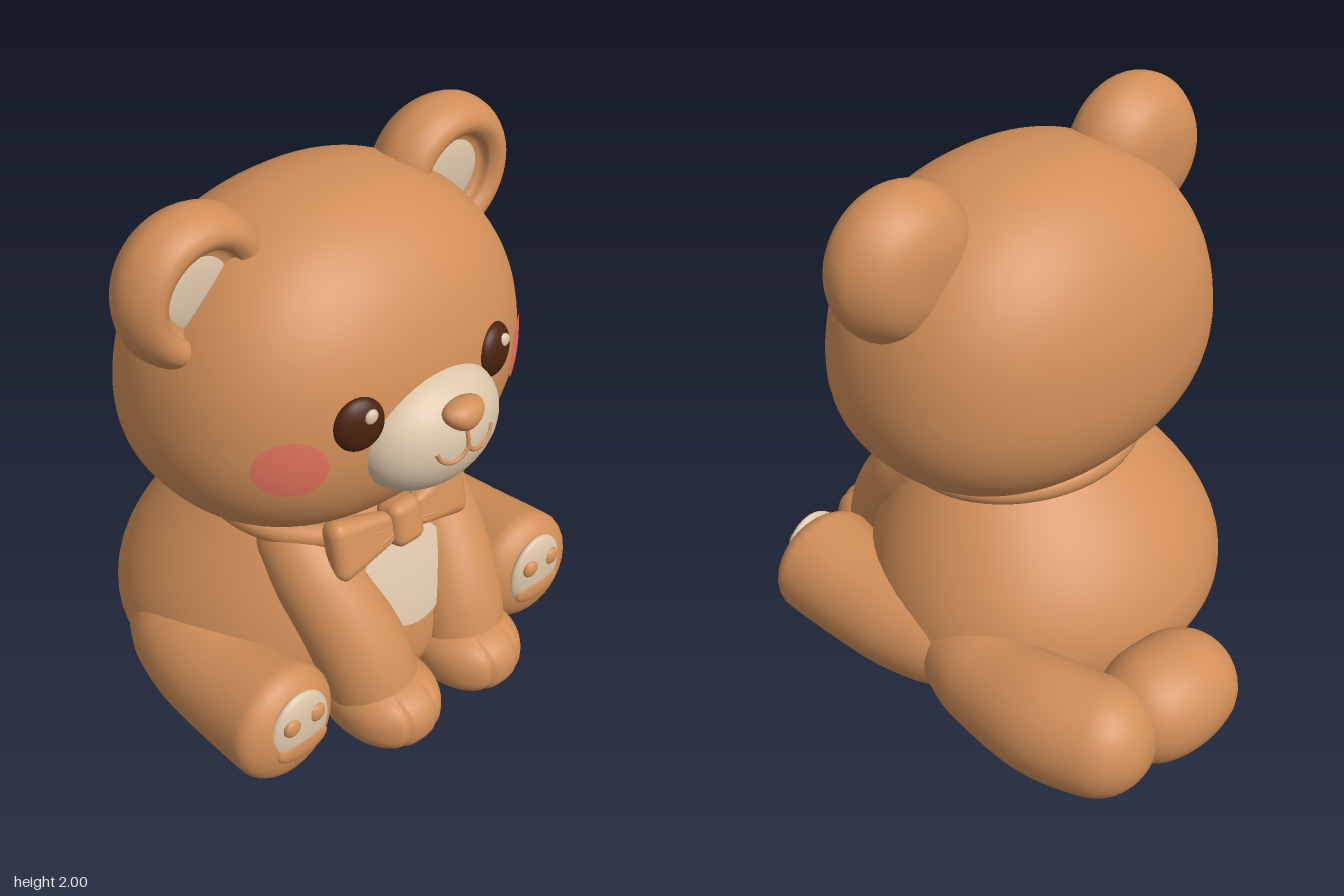
import * as THREE from 'three';
import { mergeVertices } from 'three/addons/utils/BufferGeometryUtils.js';
import { RoundedBoxGeometry } from 'three/addons/geometries/RoundedBoxGeometry.js';

const mat = (name, color) => {
  const m = new THREE.MeshStandardMaterial({ color });
  m.name = name;
  return m;
};

export function createModel() {
  const fur = mat('caramel fur', 0xd18e58);
  const cream = mat('cream', 0xdcc5a8);
  const dark = mat('dark brown', 0x4a220d);
  const blush = mat('blush pink', 0xe3735c);

  const model = new THREE.Group();
  model.name = 'bear';
  const add = (name, geo, material, x = 0, y = 0, z = 0) => {
    const m = new THREE.Mesh(geo, material);
    m.name = name;
    m.position.set(x, y, z);
    model.add(m);
    return m;
  };

  // Moves every vertex by a rule, then welds seams for smooth normals
  const reshape = (geo, rule) => {
    const p = geo.attributes.position, v = new THREE.Vector3();
    for (let i = 0; i < p.count; i++) {
      rule(v.fromBufferAttribute(p, i), i);
      p.setXYZ(i, v.x, v.y, v.z);
    }
    geo.deleteAttribute('uv');
    geo.deleteAttribute('normal');
    const out = mergeVertices(geo, 1e-5);
    out.computeVertexNormals();
    return out;
  };
  const ball = (name, material, pos, r) => {
    const m = add(name, new THREE.SphereGeometry(1, 36, 24), material, ...pos);
    m.scale.set(...r);
    return m;
  };

  // Rounded limb along a curve; points are [x, y, z, radius], endCap is the depth of the end dome
  const limb = (name, pts, endCap) => {
    const curve = new THREE.CatmullRomCurve3(pts.map(p => new THREE.Vector3(p[0], p[1], p[2])));
    const N = 96, R = 28, len = curve.getLength(), c = new THREE.Vector3();
    const dome = (s, d) => (s >= d ? 1 : Math.sqrt(Math.max(0, 1 - (1 - s / d) ** 2)));
    const geo = reshape(new THREE.TubeGeometry(curve, N, 1, R), (v, i) => {
      const u = Math.floor(i / (R + 1)) / N;
      curve.getPointAt(u, c);
      const k = curve.getUtoTmapping(u) * (pts.length - 1);
      const a = Math.min(Math.floor(k), pts.length - 2);
      const r = THREE.MathUtils.lerp(pts[a][3], pts[a + 1][3], THREE.MathUtils.smoothstep(k - a, 0, 1));
      v.sub(c).multiplyScalar(r * dome(u * len, pts[0][3]) * dome((1 - u) * len, endCap)).add(c);
    });
    return add(name, geo, fur);
  };

  // Thin oval patch laid over a surface z = f(x, y)
  const patch = (name, material, cx, cy, rx, ry, f) =>
    add(name, reshape(new THREE.RingGeometry(0, 1, 48, 10), v => {
      const x = cx + v.x * rx, y = cy + v.y * ry;
      v.set(x, y, f(x, y) + 0.008);
    }), material);

  // Body: a pear shape that leans forward towards the neck, fuller in front
  const rise = y => Math.max(0, (y - 0.24) / 0.51);
  const bodyR = y => (y > 0.24
    ? 0.69 - 0.27 * rise(y) ** 1.8
    : 0.69 * Math.sqrt(Math.max(0, 1 - ((0.24 - y) / 0.24) ** 3)));
  const lean = y => 0.045 + 0.1 * rise(y) ** 2;
  const bodyZ = (x, y) => lean(y) + 0.98 * Math.sqrt(Math.max(0, bodyR(y) ** 2 - x * x));
  const profile = [];
  for (let i = 0; i <= 48; i++) {
    const y = 0.9 * (i / 48) ** 2;
    profile.push(new THREE.Vector2(bodyR(y), y));
  }
  add('body', reshape(new THREE.LatheGeometry(profile, 64), v => {
    v.z = v.z * (v.z > 0 ? 0.98 : 0.87) + lean(v.y);
  }), fur);
  patch('belly', cream, 0, 0.53, 0.2, 0.17, bodyZ);

  // Head: a wide squarish ellipsoid, fuller in the cheeks
  const H = { y: 1.32, z: 0.17, rx: 0.728, ry: 0.59, rz: 0.56, p: 2.25 };
  const egg = t => 1 - 0.1 * t;
  const headZ = (x, y) => {
    const t = (y - H.y) / H.ry, k = egg(t);
    const s = 1 - Math.abs(x / (H.rx * k)) ** H.p - Math.abs(t) ** H.p;
    return H.z + H.rz * k * Math.max(0, s) ** (1 / H.p);
  };
  add('head', reshape(new THREE.SphereGeometry(1, 72, 48), v => {
    const n = (Math.abs(v.x) ** H.p + Math.abs(v.y) ** H.p + Math.abs(v.z) ** H.p) ** (1 / H.p);
    v.divideScalar(n);
    const k = egg(v.y);
    v.set(v.x * H.rx * k, H.y + v.y * H.ry, H.z + v.z * H.rz * k);
  }), fur);

  // Muzzle, nose and mouth
  const muzzleZ = (x, y) => 0.68 + 0.19 * Math.sqrt(Math.max(0, 1 - (x / 0.285) ** 2 - ((y - 1.21) / 0.215) ** 2));
  ball('muzzle', cream, [0, 1.21, 0.68], [0.285, 0.215, 0.19]);
  add('nose', reshape(new THREE.SphereGeometry(1, 32, 20), v => {
    v.set(v.x * 0.075 * (1 + 0.4 * v.y), v.y * 0.055, v.z * 0.06);
  }), fur, 0, 1.33, 0.835);
  const line = (name, pts) => add(name, new THREE.TubeGeometry(
    new THREE.CatmullRomCurve3(pts.map(([x, y]) => new THREE.Vector3(x, y, muzzleZ(x, y)))), 24, 0.008, 8), fur);
  line('philtrum', [[0, 1.29], [0, 1.25], [0, 1.21]]);

  // Ears: dished discs with a cream centre
  const earProfile = new THREE.SplineCurve([[0, -0.15], [0.11, -0.143], [0.205, -0.1], [0.268, -0.01], [0.268, 0.07],
    [0.235, 0.128], [0.195, 0.145], [0.158, 0.125], [0.135, 0.085], [0, 0.07]]
    .map(([r, z]) => new THREE.Vector2(r, z))).getPoints(60);
  earProfile.forEach(p => { p.x = Math.max(0, p.x); });
  const earGeo = reshape(new THREE.LatheGeometry(earProfile, 48), v => v.set(v.x, -v.z, v.y));

  // Paw: a rounded mitten with two shallow grooves between the toes
  const pawGeo = reshape(new THREE.SphereGeometry(1, 96, 48), v => {
    const n = (Math.abs(v.x) ** 2.4 + Math.abs(v.y) ** 2.4 + Math.abs(v.z) ** 2.4) ** (1 / 2.4);
    v.divideScalar(n);
    const groove = Math.exp(-(((Math.abs(v.x) - 0.36) / 0.05) ** 2)) * THREE.MathUtils.smoothstep(v.z, 0.3, 0.7);
    v.multiplyScalar(1 - 0.045 * groove);
    v.set(v.x * 0.188, v.y * 0.13, v.z * 0.2 - 0.035 * v.x * v.x);
  });

  for (const s of [1, -1]) {
    const side = s > 0 ? 'left' : 'right';
    line(side + 'Mouth', [[0, 1.22], [s * 0.025, 1.195], [s * 0.065, 1.185], [s * 0.105, 1.205], [s * 0.125, 1.24]]);
    add(side + 'Ear', earGeo, fur, s * 0.548, 1.728, 0.14);
    ball(side + 'InnerEar', cream, [s * 0.56, 1.73, 0.21], [0.138, 0.138, 0.024]);

    // Eyes and cheeks
    const eye = ball(side + 'Eye', dark, [s * 0.305, 1.355, headZ(0.305, 1.355) - 0.01], [0.09, 0.096, 0.045]);
    eye.rotation.set(-0.08, s * 0.28, 0);
    ball(side + 'EyeShine', cream, [s * 0.305 + 0.018, 1.395, headZ(0.305 + s * 0.018, 1.395) + 0.03], [0.026, 0.026, 0.014]);
    patch(side + 'Cheek', blush, s * 0.515, 1.235, 0.1, 0.105, headZ);

    // Arms reaching to the ground
    limb(side + 'Arm', [[s * 0.29, 0.78, 0.26, 0.13], [s * 0.28, 0.56, 0.49, 0.16],
      [s * 0.23, 0.3, 0.66, 0.17], [s * 0.2, 0.03, 0.74, 0.16]], 0.15);
    add(side + 'Paw', pawGeo, fur, s * 0.205, 0.148, 0.755);

    // Legs pointing forward from the hips, with padded soles
    limb(side + 'Leg', [[s * 0.42, 0.2, -0.16, 0.17], [s * 0.56, 0.2, 0.1, 0.192],
      [s * 0.603, 0.205, 0.36, 0.195], [s * 0.592, 0.23, 0.757, 0.22]], 0.12);
    ball(side + 'Sole', cream, [s * 0.59, 0.25, 0.727], [0.127, 0.152, 0.038]);
    ball(side + 'Pad', fur, [s * 0.59, 0.183, 0.746], [0.11, 0.052, 0.024]);
    for (const t of [-1, 1])
      ball(side + 'Bean', fur, [s * 0.59 + t * 0.055, 0.302, 0.753], [0.035, 0.035, 0.02]);

    // Bow wing, pinched towards the knot
    const wing = add(side + 'BowWing', reshape(new RoundedBoxGeometry(0.27, 0.235, 0.11, 6, 0.05), v => {
      const k = (s * v.x + 0.135) / 0.27;
      v.y *= 0.45 + 0.55 * Math.min(1, k * 1.15);
      v.z *= 0.6 + 0.4 * k;
    }), fur, s * 0.175, 0.745, 0.58);
    wing.rotation.set(-0.25, s * 0.12, 0);
    for (const t of [-1, 1]) {
      const fold = ball(side + 'BowFold', fur, [s * 0.11, 0.745 + t * 0.02, 0.617 - t * 0.006], [0.05, 0.01, 0.012]);
      fold.rotation.z = s * t * 0.25;
    }
  }

  // Collar and bow knot
  const collar = add('collar', new THREE.TorusGeometry(0.425, 0.043, 16, 72), fur, 0, 0.778, 0.195);
  collar.scale.y = 0.92;
  collar.rotation.x = Math.PI / 2 + 0.05;
  add('bowKnot', new RoundedBoxGeometry(0.135, 0.17, 0.12, 5, 0.04), fur, 0, 0.745, 0.59).rotation.x = -0.25;

  // Tail: a thick bent roll curling behind the left hip
  limb('tail', [[0.48, 0.19, 0.12, 0.16], [0.585, 0.2, -0.24, 0.19], [0.585, 0.22, -0.56, 0.212],
    [0.47, 0.225, -0.9, 0.205]], 0.2);
  limb('tailTip', [[0.5, 0.225, -0.68, 0.18], [0.25, 0.225, -0.75, 0.21], [-0.04, 0.215, -0.72, 0.185]], 0.18);

  return model;
}
